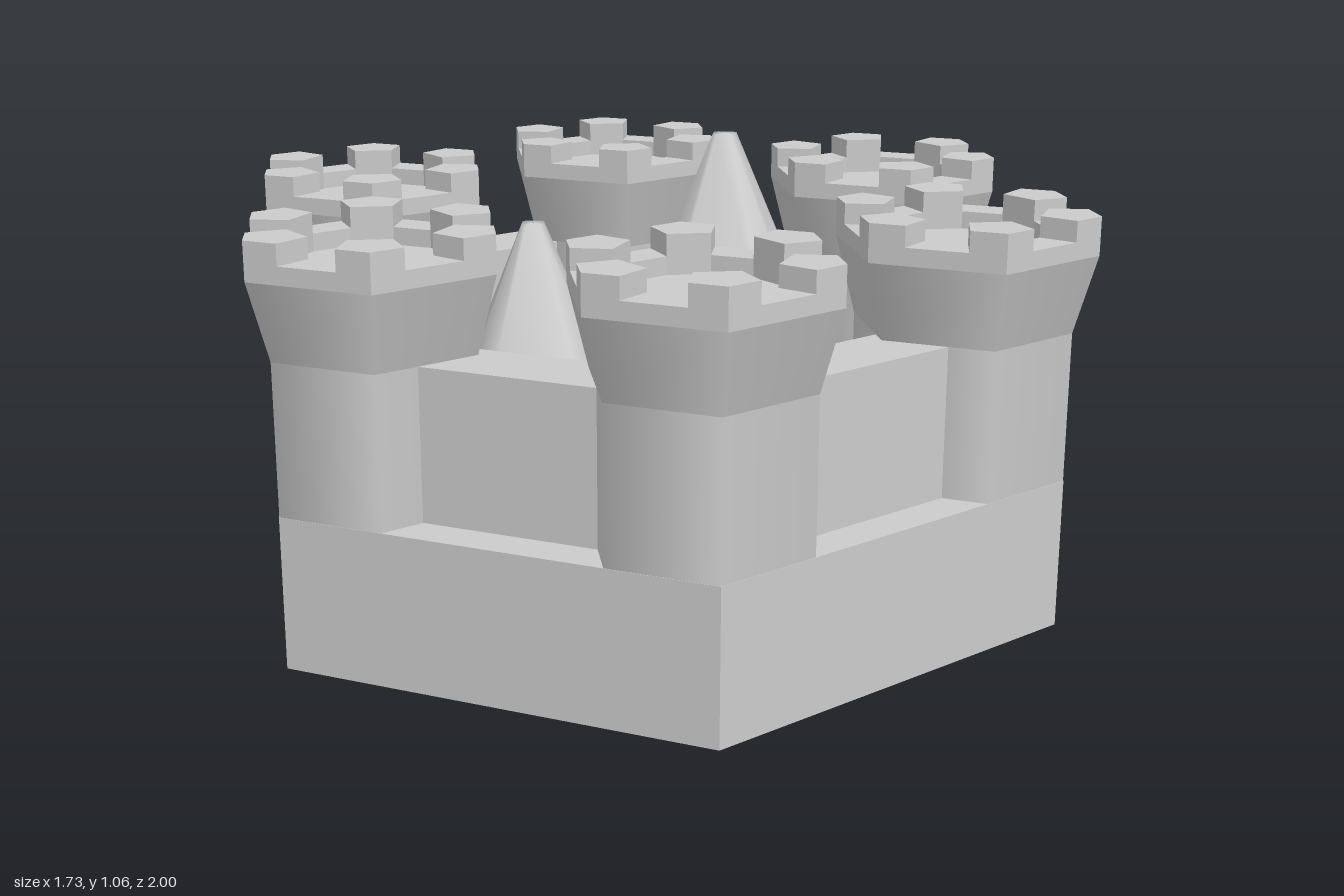
import * as THREE from 'three';

const grey = new THREE.MeshStandardMaterial({ color: 0xcccccc });
const flat = new THREE.MeshStandardMaterial({ color: 0xcccccc, flatShading: true });
const DEG = Math.PI / 180;

const BASE_TOP = 0.333, WALL_TOP = 0.66, FLARE_TOP = 0.83, NOTCH_Y = 0.868, MERLON_TOP = 0.913;
const TOWER_R = 0.237, CROWN_R = 0.283, WELL_R = 0.172, TOWER_DIST = 0.717;

const polar = (r, deg) => new THREE.Vector2(r * Math.cos(deg * DEG), r * Math.sin(deg * DEG));
const ngon = (n, r, start) => Array.from({ length: n }, (_, i) => polar(r, start + (i * 360) / n));

function add(parent, name, geometry, material) {
  const mesh = new THREE.Mesh(geometry, material);
  mesh.name = name;
  parent.add(mesh);
  return mesh;
}

// Plan outline raised from y0 to y1
function slab(points, y0, y1, hole) {
  const shape = new THREE.Shape(points);
  if (hole) shape.holes.push(new THREE.Path(hole));
  return new THREE.ExtrudeGeometry(shape, { depth: y1 - y0, bevelEnabled: false })
    .rotateX(-Math.PI / 2).translate(0, y0, 0);
}

// Six-sided shaft, open or capped, with smooth normals
function hexShaft(r0, r1, y0, y1, open) {
  return new THREE.CylinderGeometry(r1, r0, y1 - y0, 6, 1, open).translate(0, (y0 + y1) / 2, 0);
}

function makeTower() {
  const tower = new THREE.Group();
  tower.name = 'tower';
  add(tower, 'towerShaft', hexShaft(TOWER_R, TOWER_R, BASE_TOP, WALL_TOP, true), grey);
  add(tower, 'towerFlare', hexShaft(TOWER_R, CROWN_R, WALL_TOP, FLARE_TOP), grey);
  add(tower, 'parapet', slab(ngon(6, CROWN_R, 30), FLARE_TOP, NOTCH_Y, ngon(12, WELL_R, 15)), flat);
  // One merlon on each corner, with radial sides
  const edgeR = (CROWN_R * Math.cos(30 * DEG)) / Math.cos(15 * DEG);
  for (let i = 0; i < 6; i++) {
    const a = 30 + i * 60;
    const outline = [polar(WELL_R, a - 15), polar(edgeR, a - 15), polar(CROWN_R, a),
      polar(edgeR, a + 15), polar(WELL_R, a + 15)];
    add(tower, 'merlon', slab(outline, NOTCH_Y, MERLON_TOP), flat);
  }
  return tower;
}

// Square plan with cut corners, lofted through [radius, y] rings
function loft(rings) {
  const n = 8, pos = [], index = [];
  const cut = 0.22, angle = Math.atan(cut), len = Math.hypot(1, cut);
  rings.forEach(([r, y]) => {
    for (let i = 0; i < n; i++) {
      const a = Math.floor(i / 2) * 90 * DEG + (i % 2 ? angle : -angle);
      pos.push(r * len * Math.sin(a), y, r * len * Math.cos(a));
    }
  });
  for (let k = 0; k < rings.length - 1; k++) {
    for (let i = 0; i < n; i++) {
      const a = k * n + i, b = k * n + ((i + 1) % n);
      index.push(a, b, a + n, b, b + n, a + n);
    }
  }
  const geometry = new THREE.BufferGeometry();
  geometry.setAttribute('position', new THREE.Float32BufferAttribute(pos, 3));
  geometry.setIndex(index);
  geometry.computeVertexNormals();
  return geometry;
}

// Tapered roof overhanging a narrower stem
function makeSpire({ x, z, r, top, eave, turn }) {
  const spire = new THREE.Group();
  spire.name = 'spire';
  add(spire, 'spireRoof', loft([[r * 0.65, eave - 0.03], [r * 0.96, eave - 0.02], [r, eave],
    [0.028, top], [0.001, top + 0.001]]), grey);
  add(spire, 'spireStem', loft([[r * 0.7, BASE_TOP], [r * 0.65, eave - 0.03]]), grey);
  spire.position.set(x, 0, z);
  spire.rotation.y = turn * DEG;
  return spire;
}

export function createModel() {
  const castle = new THREE.Group();
  castle.name = 'castle';

  // Solid plinth and the ring wall standing on it
  add(castle, 'plinth', slab(ngon(6, 0.955, 30), 0, BASE_TOP), flat);
  add(castle, 'ringWall', slab(ngon(6, 0.858, 30), BASE_TOP, WALL_TOP, ngon(6, 0.67, 30)), flat);

  // Corner towers
  for (let i = 0; i < 6; i++) {
    const tower = makeTower();
    const a = i * 60 * DEG;
    tower.position.set(TOWER_DIST * Math.sin(a), 0, TOWER_DIST * Math.cos(a));
    castle.add(tower);
  }

  // Courtyard spires
  [
    { x: 0.255, z: 0, r: 0.23, top: 1.057, eave: 0.61, turn: 0 },
    { x: -0.1, z: -0.25, r: 0.172, top: 0.89, eave: 0.56, turn: -8 },
    { x: -0.09, z: 0.26, r: 0.157, top: 0.84, eave: 0.55, turn: 10 },
  ].forEach((s) => castle.add(makeSpire(s)));

  return castle;
}
